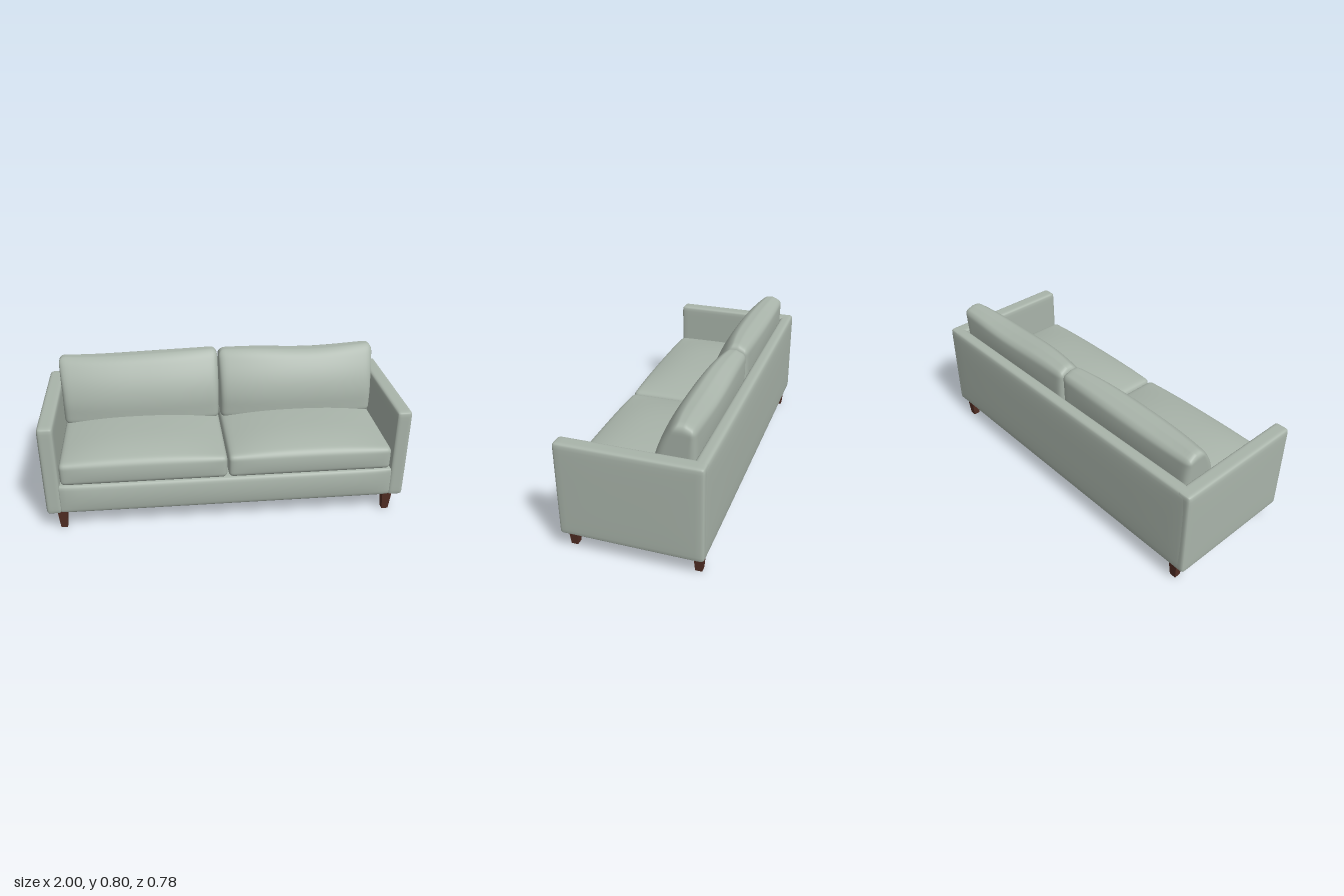
import * as THREE from 'three';
import { mergeVertices } from 'three/addons/utils/BufferGeometryUtils.js';

const fabric = new THREE.MeshStandardMaterial({ color: 0xa9b4aa });
fabric.name = 'sage fabric';
const wood = new THREE.MeshStandardMaterial({ color: 0x522e24 });
wood.name = 'dark wood';

// Rounded box between two corners, with an optional warp.
// warp(p, u, v, w) moves point p; u, v, w run from -1 to 1 across the box.
function softBox(name, min, max, r, n, warp) {
  const lo = new THREE.Vector3(...min), hi = new THREE.Vector3(...max);
  const mid = lo.clone().add(hi).multiplyScalar(0.5);
  const half = hi.clone().sub(lo).multiplyScalar(0.5);
  const inner = half.clone().subScalar(r), outer = inner.clone().negate();
  let geo = new THREE.BoxGeometry(2, 2, 2, n, n, n);
  geo.deleteAttribute('uv');
  geo.deleteAttribute('normal');
  geo = mergeVertices(geo, 1e-5);
  const pos = geo.attributes.position;
  // crowd the grid lines towards the edges
  const ease = (t) => Math.sign(t) * (1 - Math.pow(1 - Math.abs(t), 2.2));
  const p = new THREE.Vector3(), core = new THREE.Vector3();
  for (let i = 0; i < pos.count; i++) {
    p.fromBufferAttribute(pos, i);
    p.set(ease(p.x), ease(p.y), ease(p.z)).multiply(half);
    core.copy(p).clamp(outer, inner);
    p.sub(core).normalize().multiplyScalar(r).add(core);
    const u = p.x / half.x, v = p.y / half.y, w = p.z / half.z;
    p.add(mid);
    if (warp) warp(p, u, v, w);
    pos.setXYZ(i, p.x, p.y, p.z);
  }
  geo.computeVertexNormals();
  const mesh = new THREE.Mesh(geo, fabric);
  mesh.name = name;
  return mesh;
}

const dome = (a, k = 2) => 1 - Math.pow(Math.min(1, Math.abs(a)), k);

function seatCushion(side, name) {
  const x = [0.003, 0.908];
  if (side < 0) x.reverse();
  return softBox(name, [Math.min(side * x[0], side * x[1]), 0.28, -0.29],
    [Math.max(side * x[0], side * x[1]), 0.412, 0.376], 0.028, 28, (p, u, v, w) => {
      // crowned top, slightly bulging front
      p.y += 0.052 * (v + 1) / 2 * dome(u, 2.4) * (0.2 + 0.8 * dome(w, 3));
      if (w > 0) p.z += 0.011 * w * dome(u, 4) * dome(v);
    });
}

function backCushion(side, name) {
  const a = side * 0.004, b = side * 0.91;
  return softBox(name, [Math.min(a, b), 0.4, -0.1], [Math.max(a, b), 0.785, 0.1],
    0.036, 30, (p, u, v, w) => {
      // front leans back in a curve, rear rests on the backrest
      const rise = Math.max(0, p.y - 0.5);
      const front = -0.057 - 1.5 * rise * rise - 0.036 * Math.pow(Math.abs(u), 2.5);
      const back = -0.312 - 0.008 * dome((p.y - 0.69) / 0.1) * dome(u);
      p.z = THREE.MathUtils.lerp(back, front, (w + 1) / 2);
      // top slopes down to the rear and sags unevenly along its length
      const top = Math.max(0, v) ** 3;
      const sag = side < 0 ? 0.008 * Math.sin(u * 1.8) : 0.006 * Math.cos(u * 4 + 2.4);
      p.y += top * (0.004 + sag - 0.026 * Math.max(0, -w));
      // outer end flares a little above the arm
      if (u * side > 0) p.x += 0.013 * u * Math.max(0, v);
    });
}

export function createModel() {
  const sofa = new THREE.Group();
  sofa.name = 'sofa';

  // Upholstered frame
  sofa.add(softBox('base', [-0.925, 0.106, -0.36], [0.925, 0.284, 0.376], 0.022, 16,
    (p, u, v, w) => { if (w > 0) p.z += 0.013 * w * dome(u, 12) * dome(v); }));
  sofa.add(softBox('backrest', [-0.996, 0.105, -0.38], [0.996, 0.633, -0.31], 0.022, 16,
    (p, u, v, w) => { if (w < 0) p.z += 0.008 * w * dome(u, 6) * dome(v, 4); }));

  for (const side of [1, -1]) {
    const label = side > 0 ? 'left' : 'right';
    const edges = [side * 0.912, side * 0.997].sort((a, b) => a - b);
    sofa.add(softBox(label + 'Arm', [edges[0], 0.105, -0.38], [edges[1], 0.633, 0.376],
      0.02, 16, (p, u, v, w) => {
        if (u * side > 0) p.x += 0.003 * u * dome(v, 4) * dome(w, 4);
      }));
    sofa.add(seatCushion(side, label + 'SeatCushion'));
    sofa.add(backCushion(side, label + 'BackCushion'));

    // Tapered square legs
    for (const z of [0.333, -0.335]) {
      let geo = new THREE.CylinderGeometry(0.027 * Math.SQRT2, 0.018 * Math.SQRT2, 0.112, 4);
      geo.rotateY(Math.PI / 4);
      geo = geo.toNonIndexed();
      geo.computeVertexNormals();
      const leg = new THREE.Mesh(geo, wood);
      leg.name = label + (z > 0 ? 'FrontLeg' : 'RearLeg');
      leg.position.set(side * 0.914, 0.056, z);
      sofa.add(leg);
    }
  }
  return sofa;
}
